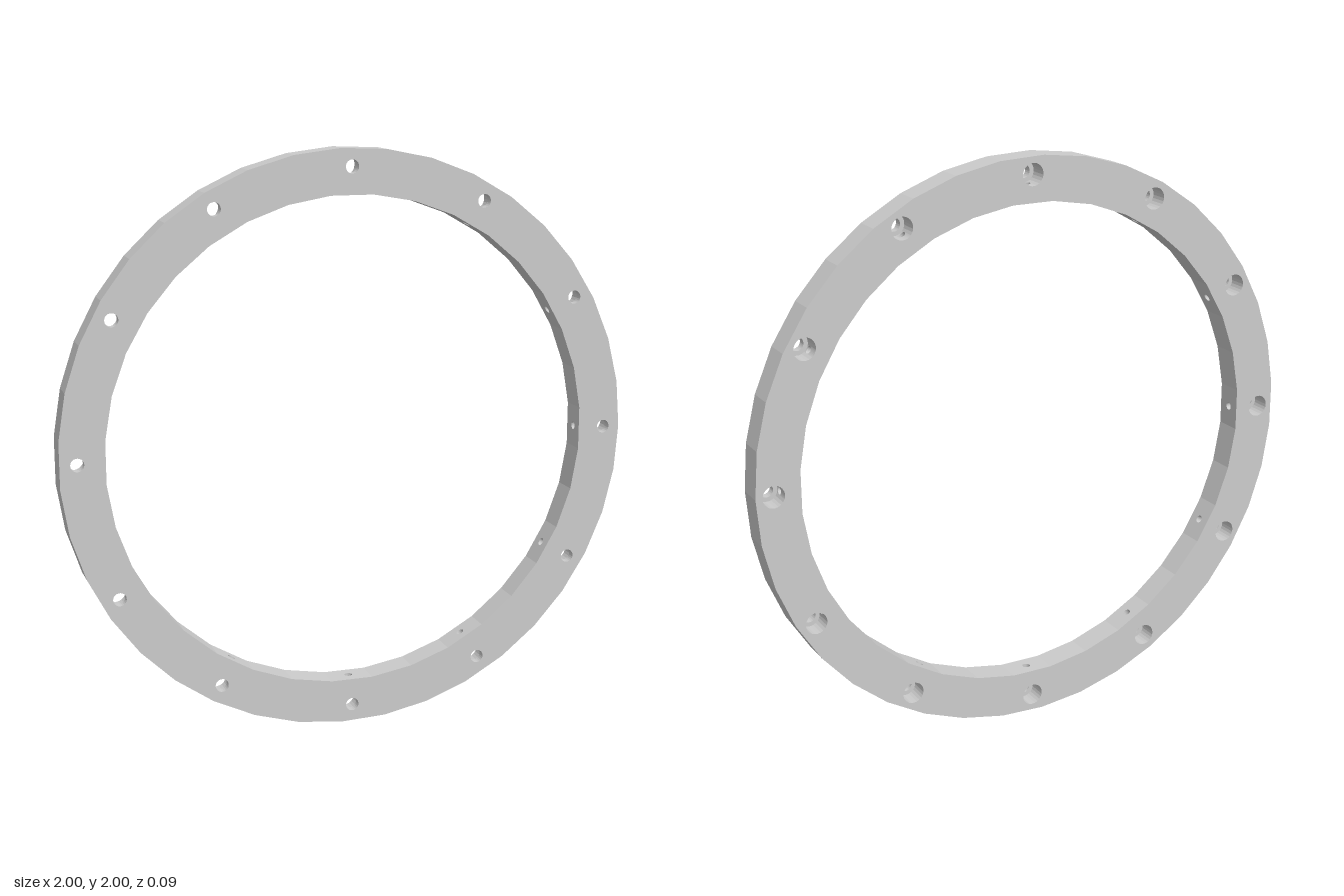
import * as THREE from 'three';
import { mergeGeometries } from 'three/addons/utils/BufferGeometryUtils.js';

const OUTER = 1, INNER = 0.848, HALF = 0.0475;   // ring radii and half thickness
const BOLTS = 12, PITCH = 0.9385;                // bolt circle
const BORE = 0.023, CBORE = 0.038, FLOOR = 0.018; // through hole, counterbore, counterbore floor z
const PORT = 0.0135;                             // radial port radius
const TAU = Math.PI * 2;

// Columns round a bolt hole: [angle, half height of the port opening in that column]
const columns = [];
for (let i = 0; i <= 10; i++) {
  const t = Math.PI * (1 - i / 10);
  columns.push([Math.PI + Math.asin(PORT * Math.cos(t) / CBORE), PORT * Math.sin(t)]);
}
const start = columns[0][0], end = columns[10][0];
for (let i = 1; i <= 20; i++) columns.push([end + (start + TAU - end) * i / 20, 0]);

// Band of quads between two point rows of equal length
function strip(a, b) {
  const pos = [];
  for (let i = 0; i < a.length - 1; i++)
    for (const p of [a[i], a[i + 1], b[i + 1], a[i], b[i + 1], b[i]]) pos.push(...p);
  const g = new THREE.BufferGeometry();
  g.setAttribute('position', new THREE.Float32BufferAttribute(pos, 3));
  g.computeVertexNormals();
  return g;
}

// Row of points round a bolt hole; z may depend on the port opening
const row = (r, z) => columns.map(([a, h]) =>
  [PITCH + r * Math.cos(a), r * Math.sin(a), typeof z === 'function' ? z(h) : z]);

const polygon = (r, n, phase) => Array.from({ length: n }, (_, i) => {
  const a = phase + i * TAU / n;
  return new THREE.Vector2(r * Math.cos(a), r * Math.sin(a));
});

// Flat ring face with bolt holes
function faceGeometry(holeRadius) {
  const shape = new THREE.Shape(polygon(OUTER, 39, 0));
  shape.holes.push(new THREE.Path(polygon(INNER, 36, Math.PI / 36)));
  for (let k = 0; k < BOLTS; k++) {
    const pts = row(holeRadius, 0).slice(0, -1).map(([x, y]) =>
      new THREE.Vector2(x, y).rotateAround(new THREE.Vector2(), k * TAU / BOLTS));
    shape.holes.push(new THREE.Path(pts));
  }
  return new THREE.ShapeGeometry(shape);
}

// One flat panel of the inner wall, facing the axis, with or without a port
function innerPanel(angle, withPort) {
  const w = INNER * Math.sin(Math.PI / 36);
  const shape = new THREE.Shape([[-w, -HALF], [w, -HALF], [w, HALF], [-w, HALF]]
    .map(p => new THREE.Vector2(...p)));
  if (withPort) shape.holes.push(new THREE.Path(polygon(PORT, 20, 0)));
  return new THREE.ShapeGeometry(shape).rotateY(-Math.PI / 2).rotateX(Math.PI / 2)
    .translate(INNER * Math.cos(Math.PI / 36), 0, 0).rotateZ(angle);
}

export function createModel() {
  const group = new THREE.Group();
  const ring = new THREE.Group();
  ring.name = 'flangeRing';
  ring.position.set(-0.0016, 1, 0);
  group.add(ring);

  const solid = new THREE.MeshStandardMaterial({ color: 0xcccccc, flatShading: true });
  const thin = new THREE.MeshStandardMaterial({ color: 0xcccccc, flatShading: true, side: THREE.DoubleSide });
  const add = (parent, name, geometry, material) => {
    const mesh = new THREE.Mesh(geometry, material);
    mesh.name = name;
    parent.add(mesh);
  };

  // Ring body
  add(ring, 'frontFace', faceGeometry(BORE).translate(0, 0, HALF), solid);
  add(ring, 'backFace', faceGeometry(CBORE).rotateX(Math.PI).translate(0, 0, -HALF), solid);
  add(ring, 'outerWall', new THREE.CylinderGeometry(OUTER, OUTER, HALF * 2, 39, 1, true, Math.PI / 2)
    .rotateX(Math.PI / 2), solid);
  const panels = [];
  for (let i = 0; i < 36; i++) panels.push(innerPanel(i * TAU / 36, i % 3 === 0));
  add(ring, 'innerWall', mergeGeometries(panels), thin);

  // Counterbore wall is split above and below the port opening
  const counterbore = mergeGeometries([
    strip(row(CBORE, -HALF), row(CBORE, h => -h)),
    strip(row(CBORE, h => h), row(CBORE, FLOOR)),
    strip(row(CBORE, FLOOR), row(BORE, FLOOR)),
  ]);
  const bore = strip(row(BORE, FLOOR), row(BORE, HALF));

  // Radial port from the inner wall into the counterbore
  const near = [], far = [];
  for (let i = 0; i <= 20; i++) {
    const y = PORT * Math.cos(i * TAU / 20), z = PORT * Math.sin(i * TAU / 20);
    near.push([INNER * Math.cos(Math.PI / 36), y, z]);
    far.push([PITCH - Math.sqrt(CBORE * CBORE - y * y), y, z]);
  }
  const port = strip(near, far);

  for (let k = 0; k < BOLTS; k++) {
    const hole = new THREE.Group();
    hole.name = 'boltHole' + (k + 1);
    hole.rotation.z = k * TAU / BOLTS;
    add(hole, 'counterbore', counterbore, thin);
    add(hole, 'throughBore', bore, thin);
    add(hole, 'radialPort', port, thin);
    ring.add(hole);
  }
  return group;
}
